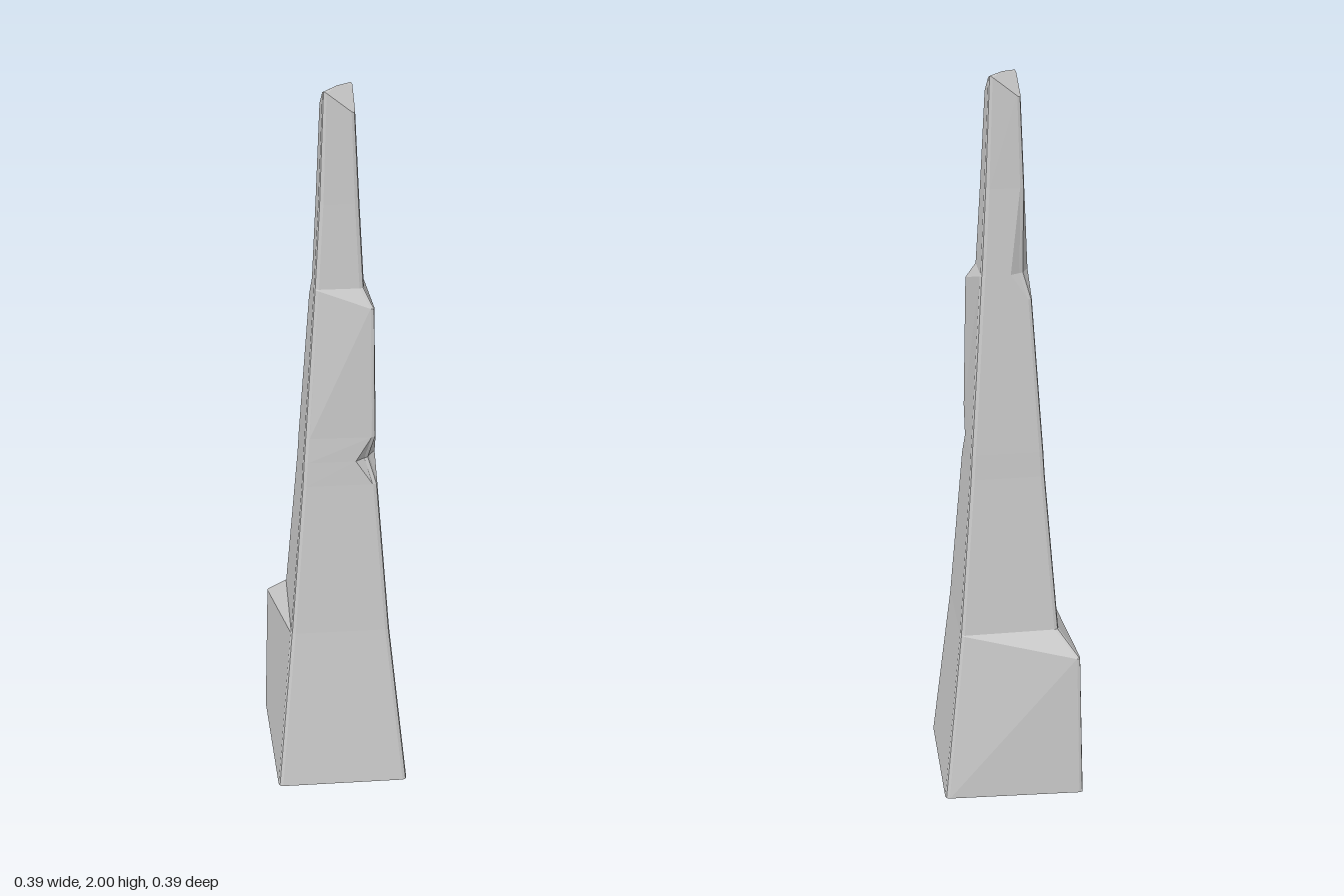
import * as THREE from 'three';

const BEVEL = 0.012;

// One cross-section. lo / hi are the sides of the square. The front-left corner (a) and
// back-right corner (b) can be moved: p = position on the diagonal, y = own height,
// outer = uncut corner position, w = width of the chip along the adjoining faces.
const LEVELS = [
  { y: 0, lo: -0.175, hi: 0.195, b: { p: -0.197 } },
  { y: 0.5, lo: -0.13, hi: 0.142, b: { p: -0.185, y: 0.43 } },  // top of the lower bulge
  { y: 0.5, lo: -0.13, hi: 0.142 },
  { y: 0.95, lo: -0.094, hi: 0.107 },
  { y: 1.02, lo: -0.09, hi: 0.103, a: { p: 0.085, outer: 0.104, w: 0.055 } }, // edge notch
  { y: 1.09, lo: -0.085, hi: 0.098, a: { p: 0.102 } },
  { y: 1.5, lo: -0.056, hi: 0.07, a: { p: 0.096, y: 1.45 }, b: { p: -0.061, y: 1.43 } }, // upper step
  { y: 1.5, lo: -0.056, hi: 0.07, b: { p: -0.042, outer: -0.056, w: 0.05 } }, // back chip
  { y: 1.72, lo: -0.043, hi: 0.058 },
  { y: 2, lo: -0.031, hi: 0.045, a: { p: 0.047, y: 1.94 }, b: { p: -0.034, y: 1.94 } },
];

// Points around one cross-section: a rounded edge and two side points per corner
function makeRing({ y, lo, hi, a = {}, b = {} }) {
  const diagonal = (c, normal) => {
    const p = c.p ?? normal;
    const o = c.outer ?? p;
    const h = c.y ?? y;
    return { at: new THREE.Vector3(p, h, p), outer: new THREE.Vector3(o, h, o), w: c.w ?? BEVEL + 0.001 };
  };
  const plain = (x, z) => {
    const v = new THREE.Vector3(x, y, z);
    return { at: v, outer: v, w: BEVEL + 0.001 };
  };
  const corners = [diagonal(a, hi), plain(hi, lo), diagonal(b, lo), plain(lo, hi)];
  const toward = (from, to, d) => to.clone().sub(from).setLength(d).add(from);

  return corners.flatMap((c, i) => {
    const prev = corners[(i + 3) % 4].outer;
    const next = corners[(i + 1) % 4].outer;
    const e1 = toward(c.at, prev, BEVEL);
    const e2 = toward(c.at, next, BEVEL);
    const mid = e1.clone().add(e2).multiplyScalar(0.25).addScaledVector(c.at, 0.5);
    return [toward(c.outer, prev, c.w), e1, mid, e2, toward(c.outer, next, c.w)];
  });
}

export function createModel() {
  const group = new THREE.Group();
  group.name = 'chippedStoneSpire';
  const rings = LEVELS.map(makeRing);
  const n = rings[0].length;
  const positions = [];
  const triangle = (...points) => points.forEach((p) => positions.push(p.x, p.y, p.z));

  // Shaft walls; the diagonal of each quad follows the lower corner of a step
  for (let j = 0; j < rings.length - 1; j++) {
    for (let i = 0; i < n; i++) {
      const k = (i + 1) % n;
      const p = rings[j][i], q = rings[j][k], r = rings[j + 1][k], s = rings[j + 1][i];
      if (p.y < q.y) {
        triangle(p, q, s);
        triangle(q, r, s);
      } else {
        triangle(p, q, r);
        triangle(p, r, s);
      }
    }
  }

  // Ridged tip, sloping down to the two chipped corners
  const top = rings[rings.length - 1];
  const { lo, hi, y } = LEVELS[LEVELS.length - 1];
  const centre = new THREE.Vector3((lo + hi) / 2, y, (lo + hi) / 2);
  top.forEach((p, i) => triangle(p, top[(i + 1) % n], centre));

  const geometry = new THREE.BufferGeometry();
  geometry.setAttribute('position', new THREE.Float32BufferAttribute(positions, 3));
  geometry.computeVertexNormals();

  // The underside is open
  const material = new THREE.MeshStandardMaterial({
    color: 0xcccccc, flatShading: true, side: THREE.DoubleSide,
  });
  const shaft = new THREE.Mesh(geometry, material);
  shaft.name = 'spire';
  group.add(shaft);
  return group;
}
